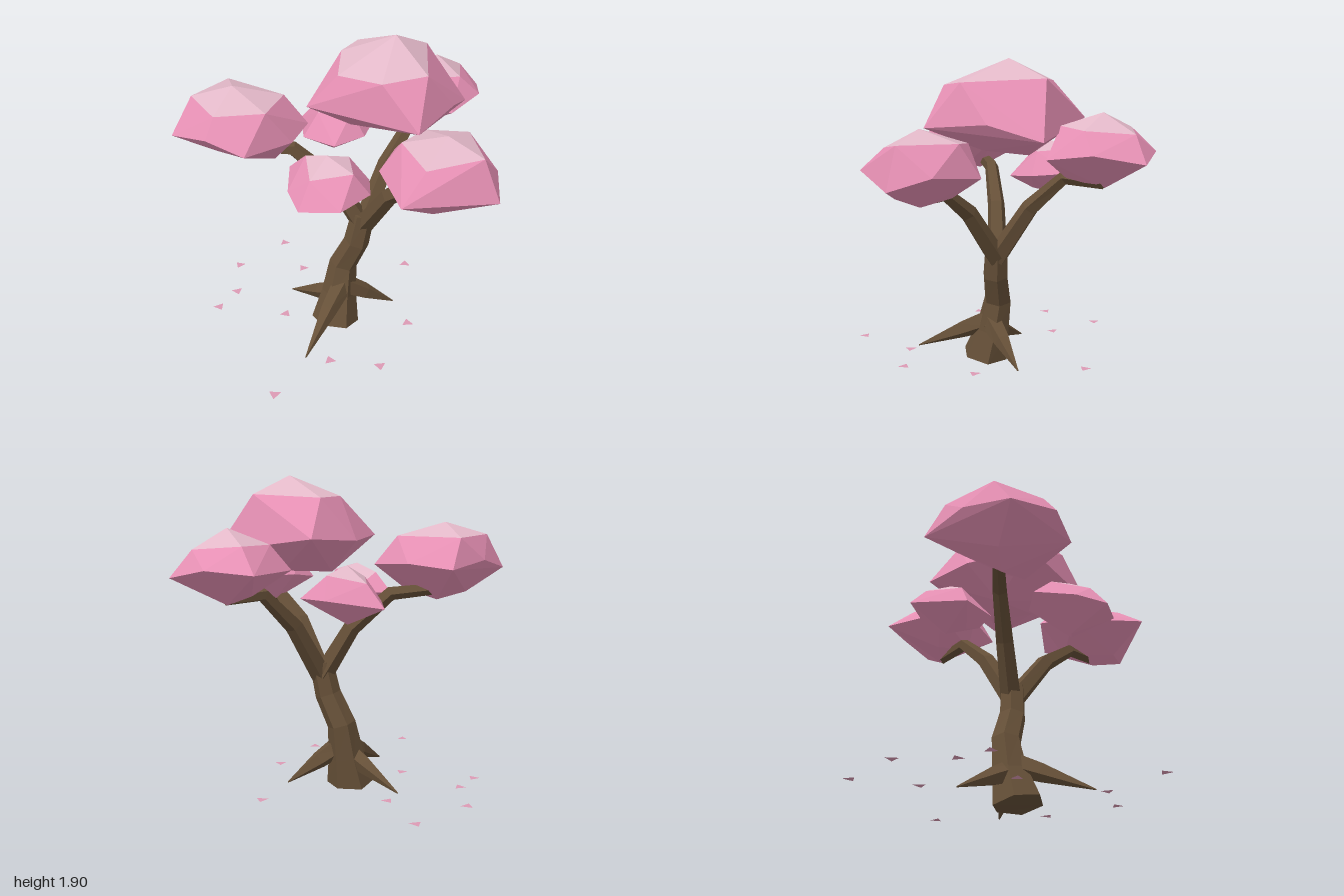
import * as THREE from 'three';
import { ConvexGeometry } from 'three/addons/geometries/ConvexGeometry.js';

const V = (p) => new THREE.Vector3(...p);

// Faceted limb lofted through [x, y, z, radius] stations
function limbGeometry(stations, sides, turn = 0) {
  const pts = stations.map((s) => new THREE.Vector3(s[0], s[1], s[2]));
  const up = new THREE.Vector3(0, 1, 0);
  const pos = [], index = [];
  const last = pts.length - 1;
  pts.forEach((p, j) => {
    const tangent = pts[Math.min(j + 1, last)].clone().sub(pts[Math.max(j - 1, 0)]).normalize();
    const q = new THREE.Quaternion().setFromUnitVectors(up, tangent);
    for (let i = 0; i < sides; i++) {
      const a = turn + (i / sides) * Math.PI * 2;
      const r = stations[j][3];
      const v = new THREE.Vector3(Math.cos(a) * r, 0, Math.sin(a) * r).applyQuaternion(q).add(p);
      pos.push(v.x, Math.max(v.y, 0), v.z);
    }
  });
  for (let j = 0; j < last; j++) {
    for (let i = 0; i < sides; i++) {
      const a = j * sides + i, b = j * sides + ((i + 1) % sides);
      index.push(a, a + sides, b, b, a + sides, b + sides);
    }
  }
  // End caps
  for (let i = 1; i < sides - 1; i++) {
    const t = last * sides;
    index.push(0, i, i + 1, t, t + i + 1, t + i);
  }
  const g = new THREE.BufferGeometry();
  g.setAttribute('position', new THREE.Float32BufferAttribute(pos, 3));
  g.setIndex(index);
  const flat = g.toNonIndexed();
  flat.computeVertexNormals();
  return flat;
}

// Faceted hull; faces that look up use the second material
function clumpGeometry(points) {
  const g = new ConvexGeometry(points.map(V));
  const n = g.attributes.normal;
  for (let i = 0; i < n.count; i += 3) g.addGroup(i, 3, n.getY(i) > 0.78 ? 1 : 0);
  return g;
}

// Blossom clumps: bottom, rim, shoulder and apex points
const clumps = {
  crownBlossom: [
    [0.22, 1.38, -0.05], [-0.1, 1.34, 0.0], [0.05, 1.35, -0.25],
    [-0.36, 1.55, -0.38], [0.33, 1.46, -0.53], [0.46, 1.55, -0.25], [0.53, 1.52, 0.13],
    [-0.12, 1.55, 0.33], [-0.33, 1.53, -0.02],
    [-0.25, 1.77, -0.22], [0.12, 1.79, -0.41], [0.43, 1.77, -0.05], [0.3, 1.75, 0.17],
    [0.02, 1.74, 0.22], [-0.17, 1.78, 0.0], [0.11, 1.9, -0.15],
  ],
  frontRightBlossom: [
    [-0.48, 1.17, 0.5], [-0.27, 1.22, 0.45], [-0.6, 1.22, 0.62],
    [-0.82, 1.38, 0.24], [-0.52, 1.4, 0.2], [-0.23, 1.38, 0.22], [-0.15, 1.35, 0.42],
    [-0.18, 1.36, 0.74], [-0.38, 1.43, 0.84], [-0.7, 1.36, 0.84], [-0.79, 1.42, 0.55],
    [-0.77, 1.55, 0.36], [-0.69, 1.56, 0.69], [-0.4, 1.54, 0.76], [-0.21, 1.55, 0.55],
    [-0.34, 1.55, 0.3], [-0.5, 1.63, 0.54],
  ],
  leftBlossom: [
    [0.65, 1.1, 0.06], [0.45, 1.13, 0.0], [0.7, 1.14, 0.2],
    [0.52, 1.27, -0.26], [0.83, 1.3, -0.18], [0.98, 1.23, 0.0], [0.7, 1.28, 0.46],
    [0.33, 1.27, 0.22], [0.25, 1.3, 0.0],
    [0.62, 1.46, -0.19], [0.88, 1.46, 0.02], [0.7, 1.42, 0.27], [0.4, 1.43, 0.12],
    [0.4, 1.44, -0.08], [0.66, 1.53, 0.05],
  ],
  backBlossom: [
    [-0.03, 1.19, -0.7], [0.05, 1.24, -0.5], [-0.12, 1.24, -0.6],
    [-0.4, 1.38, -0.79], [-0.17, 1.4, -0.94], [0.07, 1.35, -1.0], [0.25, 1.4, -0.78],
    [0.26, 1.36, -0.5], [0.0, 1.38, -0.37], [-0.24, 1.38, -0.42],
    [-0.24, 1.52, -0.75], [0.0, 1.5, -0.9], [0.17, 1.52, -0.68], [0.05, 1.53, -0.46],
    [-0.18, 1.52, -0.52], [-0.02, 1.61, -0.69],
  ],
  smallRightBlossom: [
    [-0.39, 1.07, -0.14], [-0.3, 1.1, -0.05],
    [-0.66, 1.18, -0.12], [-0.42, 1.22, -0.34], [-0.24, 1.22, -0.36], [-0.13, 1.2, -0.15],
    [-0.19, 1.18, 0.05], [-0.41, 1.19, 0.1],
    [-0.54, 1.31, -0.14], [-0.36, 1.35, -0.27], [-0.22, 1.34, -0.13], [-0.38, 1.33, 0.0],
    [-0.37, 1.4, -0.13],
  ],
  smallFrontBlossom: [
    [0.1, 1.01, 0.43], [0.18, 1.04, 0.35],
    [-0.18, 1.19, 0.42], [-0.01, 1.16, 0.59], [0.16, 1.13, 0.67], [0.35, 1.15, 0.54],
    [0.37, 1.18, 0.33], [0.25, 1.18, 0.21], [-0.04, 1.2, 0.22],
    [-0.04, 1.31, 0.42], [0.14, 1.27, 0.56], [0.31, 1.31, 0.4], [0.16, 1.32, 0.28],
    [0.12, 1.36, 0.41],
  ],
};

export function createModel() {
  const tree = new THREE.Group();
  tree.name = 'blossomTree';
  const bark = new THREE.MeshStandardMaterial({ color: 0x665038 });
  bark.name = 'bark brown';
  const pink = new THREE.MeshStandardMaterial({ color: 0xe690b4 });
  pink.name = 'blossom pink';
  const pale = new THREE.MeshStandardMaterial({ color: 0xe2b8c8 });
  pale.name = 'pale blossom';
  const petalPink = new THREE.MeshStandardMaterial({ color: 0xdc9ab4, side: THREE.DoubleSide });
  petalPink.name = 'petal pink';

  const add = (name, geometry, material) => {
    const mesh = new THREE.Mesh(geometry, material);
    mesh.name = name;
    tree.add(mesh);
    return mesh;
  };

  // Trunk, bending to the left and back as it rises
  add('trunk', limbGeometry([
    [-0.09, 0.01, 0.17, 0.15], [-0.1, 0.2, 0.12, 0.11], [-0.1, 0.4, 0.08, 0.088],
    [-0.02, 0.58, 0.04, 0.08], [0.01, 0.78, 0.01, 0.072],
  ], 6, 0.3), bark);

  // Branches that carry the clumps
  const branches = {
    frontRightBranch: [[0.0, 0.7, 0.01, 0.065], [-0.14, 1.0, 0.12, 0.055],
      [-0.31, 1.21, 0.28, 0.045], [-0.5, 1.24, 0.5, 0.035]],
    leftBranch: [[0.01, 0.7, 0.01, 0.065], [0.25, 1.01, 0.04, 0.055],
      [0.45, 1.15, 0.05, 0.042], [0.66, 1.14, 0.06, 0.035]],
    backBranch: [[0.01, 0.7, 0.01, 0.065], [-0.01, 1.03, -0.22, 0.055],
      [-0.02, 1.23, -0.45, 0.042], [-0.02, 1.22, -0.7, 0.035]],
  };
  for (const [name, path] of Object.entries(branches)) add(name, limbGeometry(path, 5), bark);

  // Roots tapering to the ground
  const roots = {
    rightRoot: [[-0.08, 0.22, 0.13, 0.07], [-0.24, 0.15, 0.15, 0.055], [-0.5, 0.04, 0.17, 0.004]],
    frontRoot: [[-0.07, 0.26, 0.13, 0.07], [-0.02, 0.18, 0.3, 0.055], [0.08, 0.04, 0.59, 0.004]],
    backRoot: [[-0.07, 0.26, 0.11, 0.07], [-0.01, 0.17, -0.02, 0.055], [0.08, 0.04, -0.2, 0.004]],
  };
  for (const [name, path] of Object.entries(roots)) add(name, limbGeometry(path, 5), bark);

  for (const [name, pts] of Object.entries(clumps)) add(name, clumpGeometry(pts), [pink, pale]);

  // Fallen petals scattered around the roots
  const petal = new THREE.CircleGeometry(0.04, 3).rotateX(-Math.PI / 2);
  [[-0.94, -0.15], [-0.6, -0.02], [-0.95, 0.26], [0.21, 0.95], [0.48, 0.36], [-0.72, 0.47],
    [-0.67, 0.66], [-0.3, 0.41], [-0.12, -0.55], [0.33, -0.06], [0.23, 0.53],
  ].forEach(([x, z], i) => {
    const mesh = add('fallenPetal' + (i + 1), petal, petalPink);
    mesh.position.set(x, 0.07, z);
    mesh.rotation.y = i * 2.3 + 0.6;
  });
  return tree;
}
